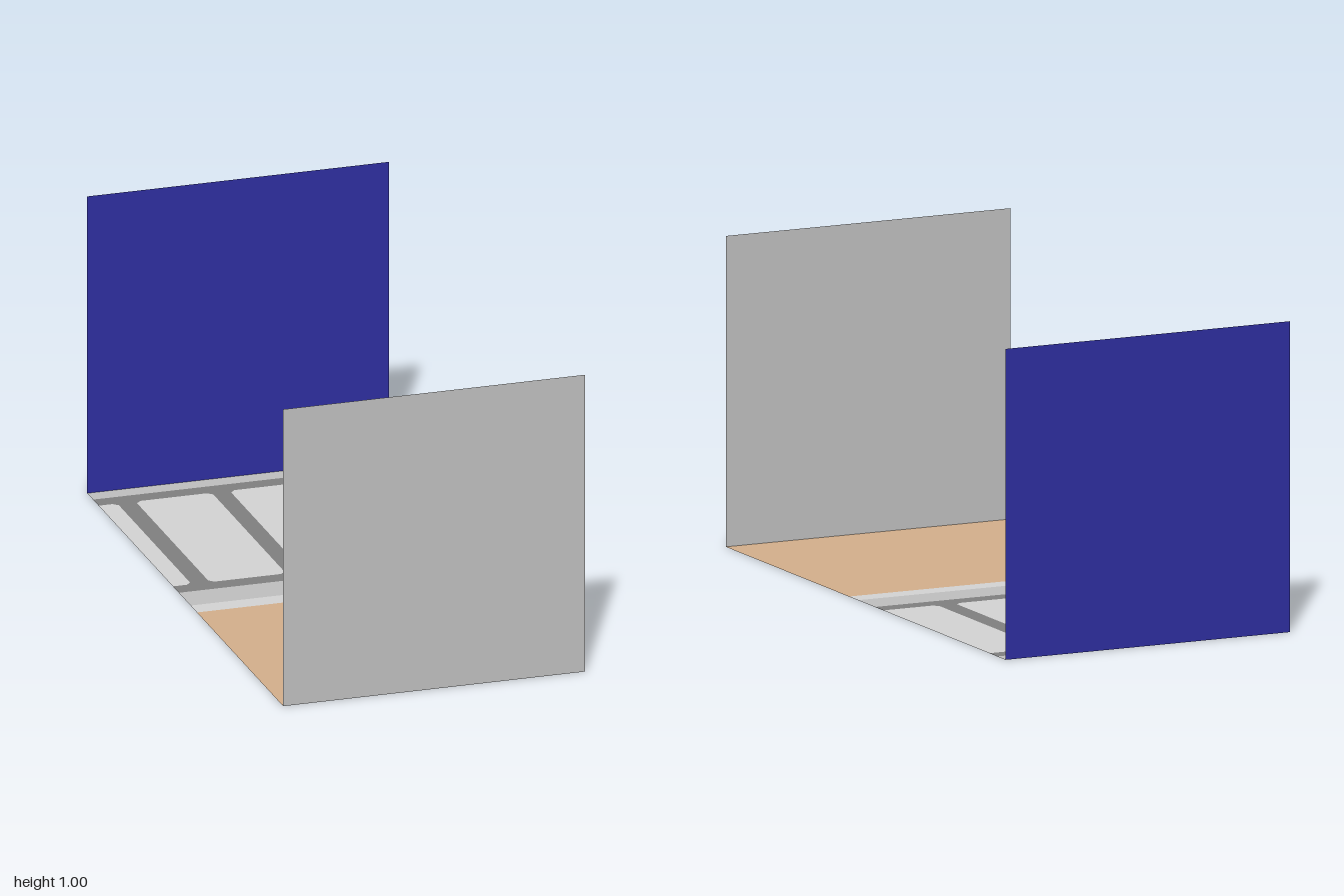
import * as THREE from 'three';

const mat = (name, color) =>
  new THREE.MeshStandardMaterial({ name, color, side: THREE.DoubleSide });

export function createModel() {
  const silver = mat('silver', 0xc0c0c0);
  const lightGrey = mat('lightGrey', 0xd4d4d4);
  const darkGrey = mat('darkGrey', 0x808080);
  const tan = mat('tan', 0xd5b08c);
  const navy = mat('navy', 0x2e2ea0);

  const model = new THREE.Group();
  model.name = 'street';
  const floor = new THREE.Group();
  floor.name = 'floor';
  model.add(floor);

  const add = (parent, name, geometry, material) => {
    const mesh = new THREE.Mesh(geometry, material);
    mesh.name = name;
    parent.add(mesh);
    return mesh;
  };

  // Upright panels at both ends
  const wall = new THREE.PlaneGeometry(1, 1).translate(0, 0.5, 0);
  add(model, 'frontWall', wall, silver).position.z = 1;
  add(model, 'backWall', wall, navy).position.z = -1;

  // Flat strips across the floor: [name, zBack, zFront, material]
  const strips = [
    ['backKerb', -1, -0.94, silver],
    ['middleKerb', -0.065, 0.055, silver],
    ['kerbEdge', 0.055, 0.12, lightGrey],
    ['ground', 0.12, 1, tan],
  ];
  for (const [name, z0, z1, material] of strips) {
    const g = new THREE.PlaneGeometry(1, z1 - z0).rotateX(-Math.PI / 2);
    add(floor, name, g, material).position.z = (z0 + z1) / 2;
  }

  // Outline of a slab with clipped corners, on the sides given (shape y = -z)
  const slabPoints = (x0, x1, clipLeft, clipRight) => {
    const y0 = 0.125, y1 = 0.883, l = clipLeft ? 0.016 : 0, r = clipRight ? 0.016 : 0;
    return [
      [x0 + l, y0], [x1 - r, y0], [x1, y0 + r], [x1, y1 - r],
      [x1 - r, y1], [x0 + l, y1], [x0, y1 - l], [x0, y0 + l],
    ].map(([x, y]) => new THREE.Vector2(x, y))
      .filter((p, i, all) => i === 0 || !p.equals(all[i - 1]))
      .filter((p, i, all) => i === 0 || !p.equals(all[0]));
  };
  const slabs = [
    slabPoints(-0.5, -0.438, false, true),
    slabPoints(-0.378, -0.125, true, true),
    slabPoints(-0.066, 0.248, true, true),
    slabPoints(0.31, 0.5, true, false),
  ];
  const flat = (shape) => new THREE.ShapeGeometry(shape).rotateX(-Math.PI / 2);
  slabs.forEach((p, i) => add(floor, 'slab' + (i + 1), flat(new THREE.Shape(p)), lightGrey));

  // Dark frame: the outer slabs notch its sides, the inner ones are holes
  const V = (x, y) => new THREE.Vector2(x, y);
  const [first, second, third, last] = slabs;
  const leftNotch = first.filter((p) => p.x > -0.5);
  const rightNotch = last.filter((p) => p.x < 0.5);
  const bottomUp = (points) => [...points].sort((a, b) => a.y - b.y);
  const frame = new THREE.Shape([
    V(-0.5, 0.065), V(0.5, 0.065), V(0.5, 0.125),
    ...bottomUp(rightNotch),
    V(0.5, 0.883), V(0.5, 0.94), V(-0.5, 0.94), V(-0.5, 0.883),
    ...bottomUp(leftNotch).reverse(),
    V(-0.5, 0.125),
  ]);
  frame.holes.push(new THREE.Path(second), new THREE.Path(third));
  add(floor, 'frame', flat(frame), darkGrey);

  return model;
}
